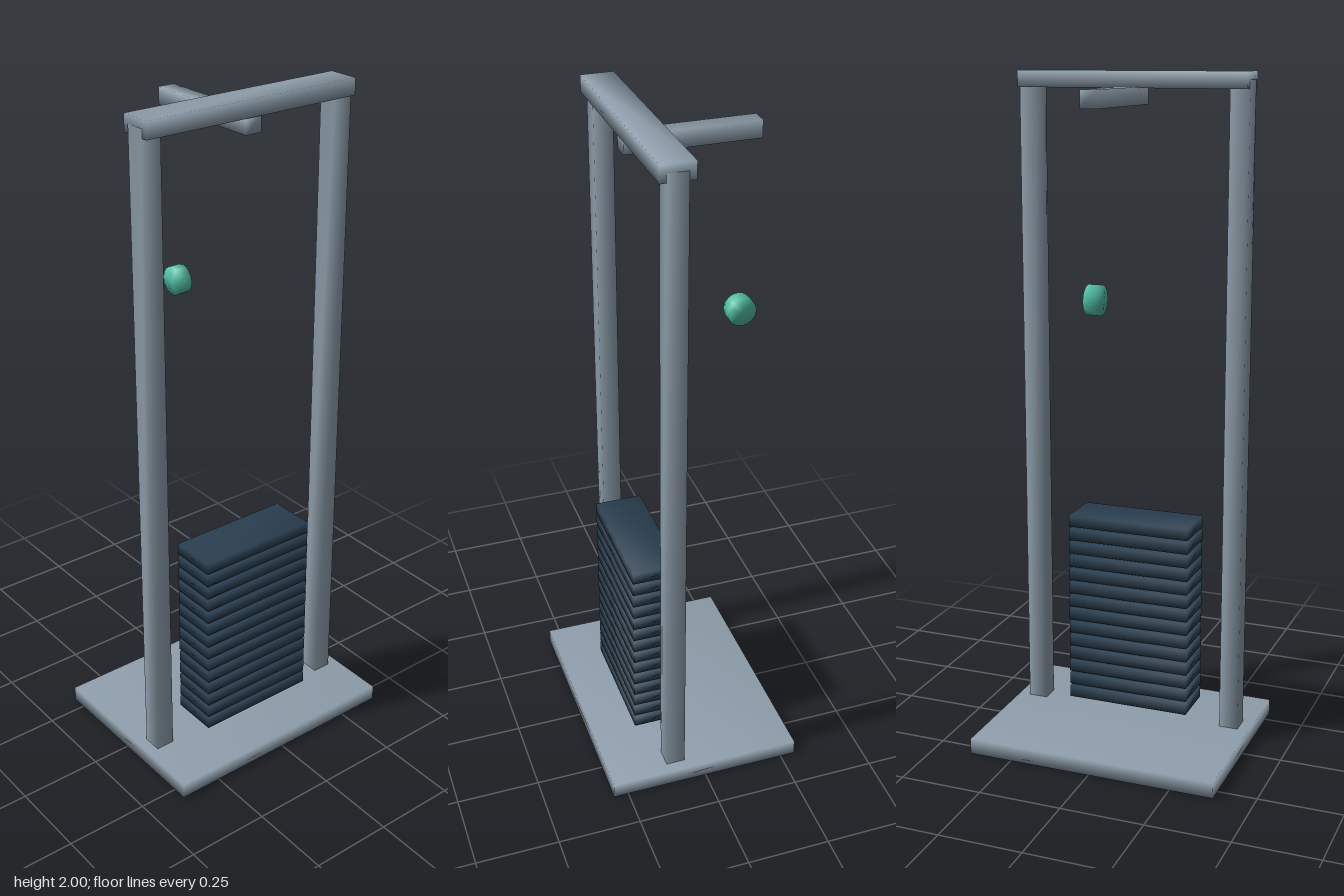
import * as THREE from 'three';
import { mergeVertices } from 'three/addons/utils/BufferGeometryUtils.js';

const steel = new THREE.MeshStandardMaterial({ color: 0x8f9fac });
const dark = new THREE.MeshStandardMaterial({ color: 0x2a3f50 });
const teal = new THREE.MeshStandardMaterial({ color: 0x52c2a8 });

// Shares corners between faces so that normals run smoothly over every edge
function soften(geometry) {
  geometry.deleteAttribute('uv');
  geometry.deleteAttribute('normal');
  const merged = mergeVertices(geometry, 1e-4);
  merged.computeVertexNormals();
  return merged;
}

// Soft-shaded box given by its limits on each axis
function box(name, material, [x0, x1], [y0, y1], [z0, z1]) {
  const mesh = new THREE.Mesh(soften(new THREE.BoxGeometry(x1 - x0, y1 - y0, z1 - z0)), material);
  mesh.name = name;
  mesh.position.set((x0 + x1) / 2, (y0 + y1) / 2, (z0 + z1) / 2);
  return mesh;
}

export function createModel() {
  const model = new THREE.Group();
  model.name = 'cableMachine';

  // Floor plate
  model.add(box('base', steel, [-0.382, 0.382], [0.001, 0.048], [-0.295, 0.295]));

  // Uprights, standing through the floor plate
  model.add(box('leftPost', steel, [0.289, 0.347], [0, 1.977], [0.057, 0.115]));
  model.add(box('rightPost', steel, [-0.347, -0.289], [0, 1.977], [0.057, 0.115]));

  // Top beam and the pulley arm reaching backwards under it
  model.add(box('topBeam', steel, [-0.345, 0.345], [1.952, 2], [0.037, 0.133]));
  model.add(box('pulleyArm', steel, [-0.026, 0.026], [1.905, 1.955], [-0.26, 0.125]));

  // Weight stack
  const stack = new THREE.Group();
  stack.name = 'weightStack';
  for (let i = 0; i < 14; i++) {
    const y = 0.083 + i * 0.0431;
    stack.add(box('weightPlate', dark, [-0.191, 0.191], [y, y + 0.036], [0.023, 0.167]));
  }
  model.add(stack);

  // Handle hanging behind the frame
  const handle = new THREE.Mesh(soften(new THREE.CylinderGeometry(0.043, 0.043, 0.04, 16)), teal);
  handle.name = 'handle';
  handle.rotation.z = Math.PI / 2;
  handle.position.set(0, 1.392, -0.22);
  model.add(handle);

  return model;
}
